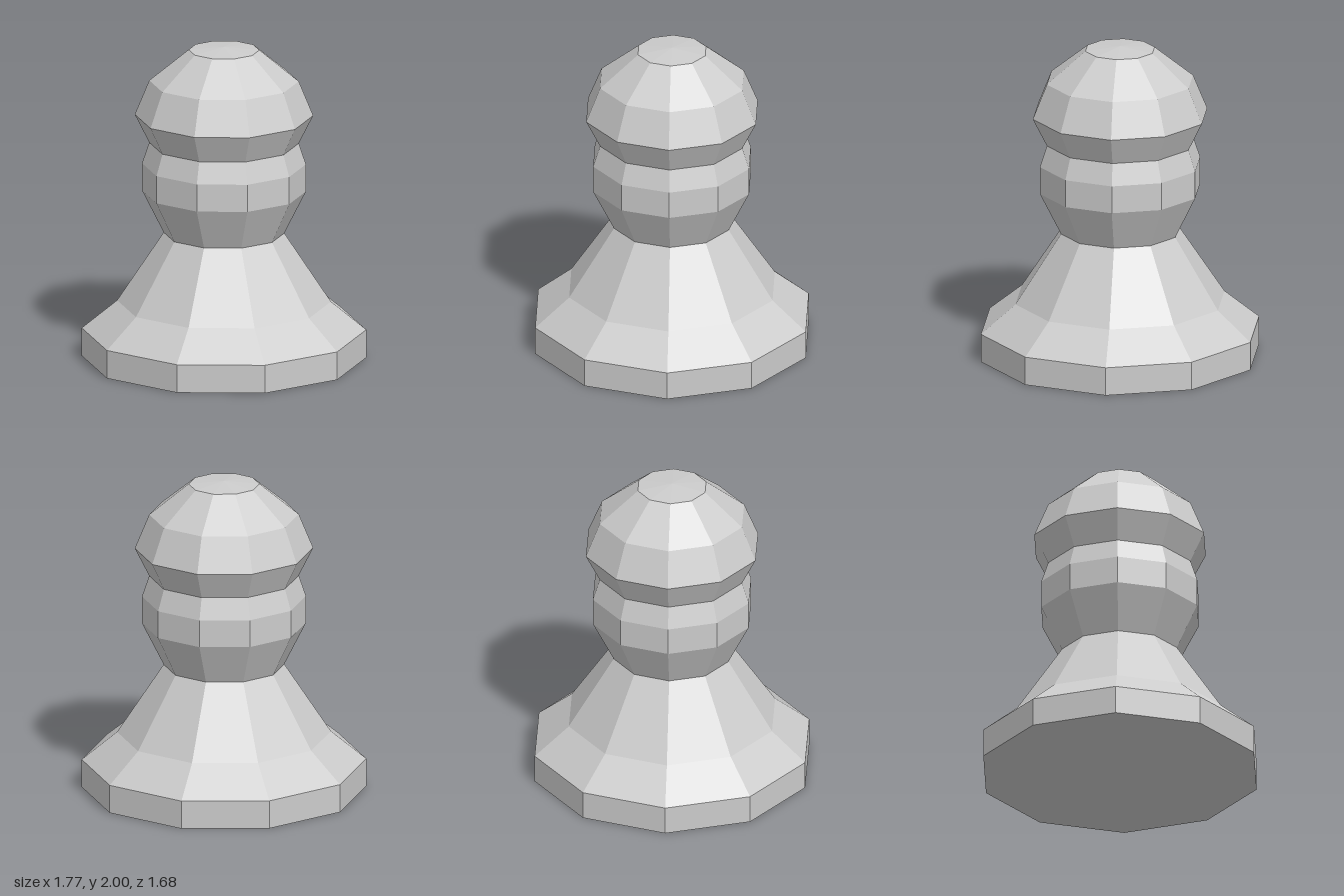
import * as THREE from 'three';

const SIDES = 10;

export function createModel() {
  const group = new THREE.Group();
  group.name = 'pawn';
  const material = new THREE.MeshStandardMaterial({ color: 0xcccccc, flatShading: true });

  // Ten-sided turned section from [radius, height] pairs, bottom to top, with a corner on +x
  const turned = (name, profile) => {
    const points = profile.map(([r, y]) => new THREE.Vector2(r, y));
    const mesh = new THREE.Mesh(new THREE.LatheGeometry(points, SIDES, Math.PI / 2), material);
    mesh.name = name;
    group.add(mesh);
  };

  // Closed foot with a sloping shoulder
  turned('base', [[0, 0], [0.885, 0], [0.885, 0.18], [0.665, 0.36]]);
  // Tapering body up to the waist
  turned('stem', [[0.665, 0.36], [0.375, 0.8]]);
  // Flared ring below the head
  turned('collar', [[0.375, 0.8], [0.51, 1.07], [0.51, 1.245], [0.465, 1.38]]);
  // Faceted dome
  turned('head', [[0.465, 1.38], [0.555, 1.56], [0.465, 1.78], [0.22, 1.98], [0, 2]]);

  return group;
}
